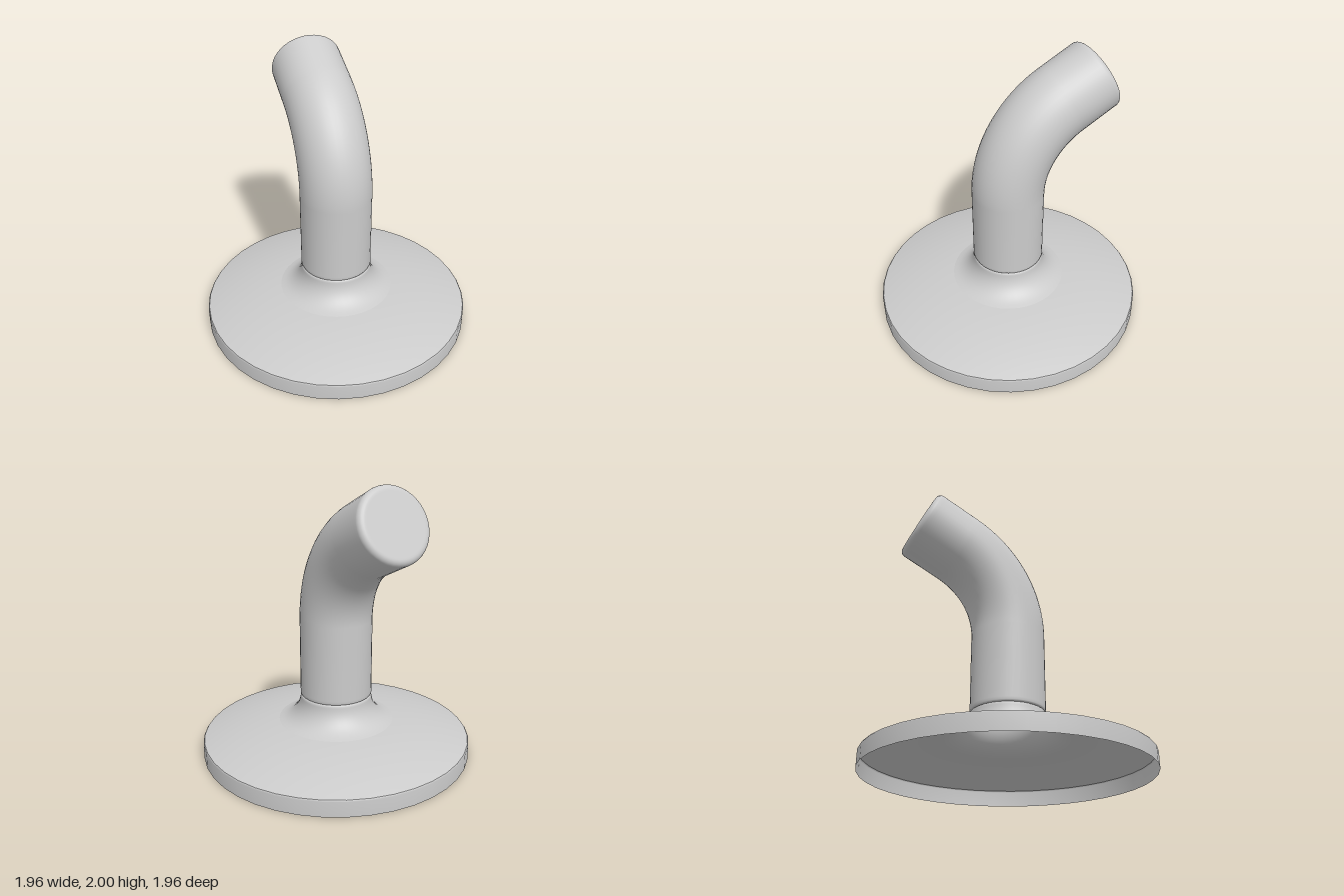
import * as THREE from 'three';

const SIDES = 40;
const TUBE_R = 0.26;
const BEND_R = 0.7;                  // centreline radius of the bend
const BEND = THREE.MathUtils.degToRad(65);
const BEND_Y = 1.0;                  // height where the bend starts
const TAIL = 0.33;                   // straight length after the bend
const BASE_Y = 0.43;                 // seam between flange and tube

const material = new THREE.MeshStandardMaterial({ color: 0xcccccc, side: THREE.DoubleSide });

function lathe(name, points) {
  const mesh = new THREE.Mesh(new THREE.LatheGeometry(points, SIDES), material);
  mesh.name = name;
  return mesh;
}

// Stations along the tube: centre (y, z), tilt and radius
function tubeStations() {
  const list = [];
  const add = (y, z, tilt, r) => list.push({ y, z, tilt, r });
  // Rounded lower edge, then the upright
  add(BASE_Y, 0, 0, TUBE_R - 0.012);
  add(BASE_Y + 0.004, 0, 0, TUBE_R - 0.004);
  add(BASE_Y + 0.012, 0, 0, TUBE_R);
  add(BASE_Y + 0.03, 0, 0, TUBE_R);
  // Bend
  const steps = 24;
  for (let i = 0; i <= steps; i++) {
    const t = (BEND * i) / steps;
    add(BEND_Y + BEND_R * Math.sin(t), -BEND_R * (1 - Math.cos(t)), t, TUBE_R);
  }
  // Straight tail with a rounded, closed end
  const y0 = BEND_Y + BEND_R * Math.sin(BEND);
  const z0 = -BEND_R * (1 - Math.cos(BEND));
  const along = (d, r) => add(y0 + d * Math.cos(BEND), z0 - d * Math.sin(BEND), BEND, r);
  const round = 0.04;
  along(TAIL - round - 0.02, TUBE_R);
  for (let i = 0; i <= 6; i++) {
    const a = (i / 6) * Math.PI / 2;
    along(TAIL - round + round * Math.sin(a), TUBE_R - round + round * Math.cos(a));
  }
  along(TAIL, TUBE_R - round - 0.01);
  along(TAIL, 0.0001);
  return list;
}

function tubeGeometry() {
  const stations = tubeStations();
  const positions = [];
  const index = [];
  stations.forEach(({ y, z, tilt, r }, i) => {
    for (let k = 0; k < SIDES; k++) {
      const a = (k / SIDES) * Math.PI * 2;
      const n = r * Math.sin(a);
      positions.push(r * Math.cos(a), y + n * Math.sin(tilt), z + n * Math.cos(tilt));
      if (i === stations.length - 1) continue;
      const next = (k + 1) % SIDES;
      const p = i * SIDES + k, q = i * SIDES + next;
      index.push(p, p + SIDES, q, q, p + SIDES, q + SIDES);
    }
  });
  const geometry = new THREE.BufferGeometry();
  geometry.setAttribute('position', new THREE.Float32BufferAttribute(positions, 3));
  geometry.setIndex(index);
  geometry.computeVertexNormals();
  return geometry;
}

export function createModel() {
  const group = new THREE.Group();
  group.name = 'bentTubeOnFlange';

  // Hollow flange: upright rim
  group.add(lathe('flangeRim', [
    new THREE.Vector2(0.98, 0),
    new THREE.Vector2(0.98, 0.108),
    new THREE.Vector2(0.973, 0.118),
  ]));

  // Domed top of the flange
  const dome = new THREE.QuadraticBezierCurve(
    new THREE.Vector2(0.973, 0.118), new THREE.Vector2(0.71, 0.205), new THREE.Vector2(0.42, 0.234));
  group.add(lathe('flangeDome', dome.getPoints(14)));

  // Concave neck rising to the seam
  const neck = [];
  for (let i = 0; i <= 14; i++) {
    const a = THREE.MathUtils.degToRad(10 + (80 * i) / 14);
    neck.push(new THREE.Vector2(0.455 - 0.195 * Math.sin(a), 0.427 - 0.195 * Math.cos(a)));
  }
  neck[0].set(0.42, 0.234);
  neck[14].set(TUBE_R, 0.418);
  neck.push(new THREE.Vector2(TUBE_R - 0.004, 0.426), new THREE.Vector2(TUBE_R - 0.012, BASE_Y));
  group.add(lathe('flangeNeck', neck));

  // Bent tube, open at the seam and closed at the far end
  const tube = new THREE.Mesh(tubeGeometry(), material);
  tube.name = 'bentTube';
  group.add(tube);

  return group;
}
